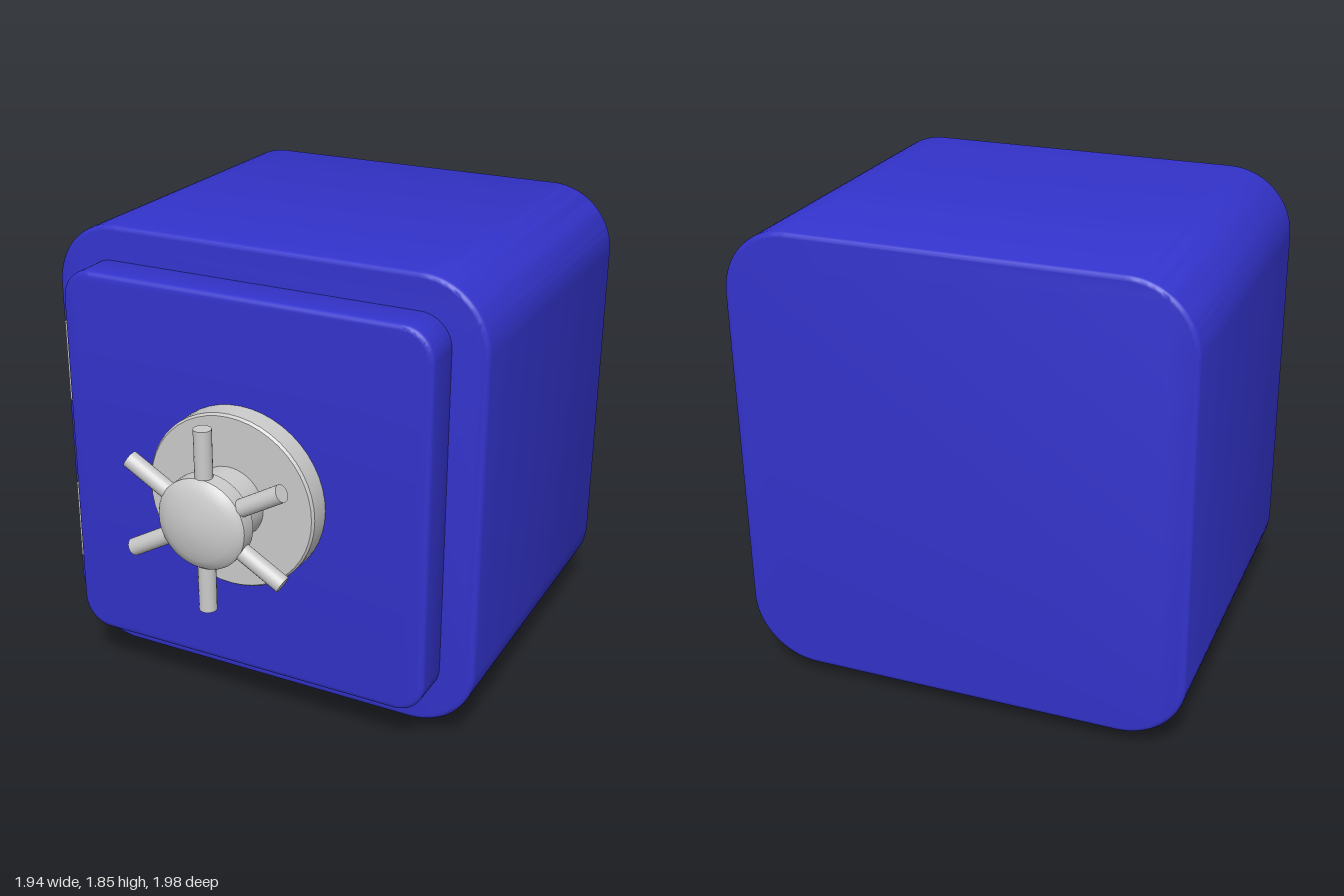
import * as THREE from 'three';
import { toCreasedNormals } from 'three/addons/utils/BufferGeometryUtils.js';

const blue = new THREE.MeshStandardMaterial({ color: 0x3333cc });
const grey = new THREE.MeshStandardMaterial({ color: 0xcccccc });
const MID = 0.958; // height of the body, door and wheel centre

function add(parent, name, geometry, material, x = 0, y = 0, z = 0) {
  const mesh = new THREE.Mesh(geometry, material);
  mesh.name = name;
  mesh.position.set(x, y, z);
  parent.add(mesh);
  return mesh;
}

// Rounded rectangle extruded along z from 0 to depth, with softened edges
function roundedSlab(w, h, depth, radius, bevel) {
  const x = w / 2 - bevel, y = h / 2 - bevel, r = radius - bevel;
  const s = new THREE.Shape();
  s.moveTo(-x + r, -y);
  s.lineTo(x - r, -y);
  s.absarc(x - r, -y + r, r, -Math.PI / 2, 0);
  s.lineTo(x, y - r);
  s.absarc(x - r, y - r, r, 0, Math.PI / 2);
  s.lineTo(-x + r, y);
  s.absarc(-x + r, y - r, r, Math.PI / 2, Math.PI);
  s.lineTo(-x, -y + r);
  s.absarc(-x + r, -y + r, r, Math.PI, Math.PI * 1.5);
  const geo = new THREE.ExtrudeGeometry(s, {
    depth: depth - 2 * bevel, bevelThickness: bevel, bevelSize: bevel,
    bevelSegments: 4, curveSegments: 14,
  });
  geo.translate(0, 0, bevel);
  return toCreasedNormals(geo, 0.6);
}

// Turned part whose axis points along z; profile is [radius, z] pairs
function turned(profile) {
  const geo = new THREE.LatheGeometry(profile.map(([r, z]) => new THREE.Vector2(r, z)), 48);
  geo.rotateX(Math.PI / 2);
  return toCreasedNormals(geo, 0.6);
}

export function createModel() {
  const model = new THREE.Group();
  model.name = 'safe';
  const safe = new THREE.Group();
  safe.name = 'turnedSafe';
  safe.position.set(-0.005, 0, -0.185);
  safe.rotation.y = 0.1614;
  model.add(safe);

  // Body and door
  add(safe, 'body', roundedSlab(1.752, 1.774, 1.368, 0.26, 0.02), blue, 0, MID, -0.684);
  add(safe, 'door', roundedSlab(1.49, 1.505, 0.18, 0.12, 0.02), blue, -0.005, MID, 0.66);

  // Feet
  for (const x of [-0.5, 0.5]) for (const z of [-0.37, 0.43])
    add(safe, 'foot', new THREE.CylinderGeometry(0.1, 0.1, 0.1, 32), blue, x, 0.05, z);

  // Hinges
  for (const y of [0.615, 1.3])
    add(safe, 'hinge', new THREE.CylinderGeometry(0.04, 0.04, 0.318, 24), grey, -0.786, y, 0.723);

  // Backplate, neck and domed hub of the wheel
  const wheel = new THREE.Group();
  wheel.name = 'wheel';
  wheel.position.set(0, MID + 0.002, 0);
  safe.add(wheel);
  add(wheel, 'backplate', turned([[0, 0.83], [0.342, 0.83], [0.342, 0.922], [0.334, 0.932], [0, 0.932]]), grey);
  add(wheel, 'neck', turned([[0, 0.92], [0.14, 0.92], [0.14, 1.07], [0, 1.07]]), grey);
  add(wheel, 'hub', turned([[0, 1.06], [0.168, 1.06], [0.175, 1.068], [0.175, 1.13],
    [0.165, 1.143], [0.13, 1.159], [0.09, 1.17], [0.045, 1.178], [0, 1.18]]), grey);

  // Six spokes
  for (let i = 0; i < 6; i++) {
    const a = i * Math.PI / 3;
    const spoke = add(wheel, 'spoke', new THREE.CylinderGeometry(0.033, 0.033, 0.255, 20), grey,
      -Math.sin(a) * 0.2275, Math.cos(a) * 0.2275, 1.1);
    spoke.rotation.z = a;
  }
  return model;
}
